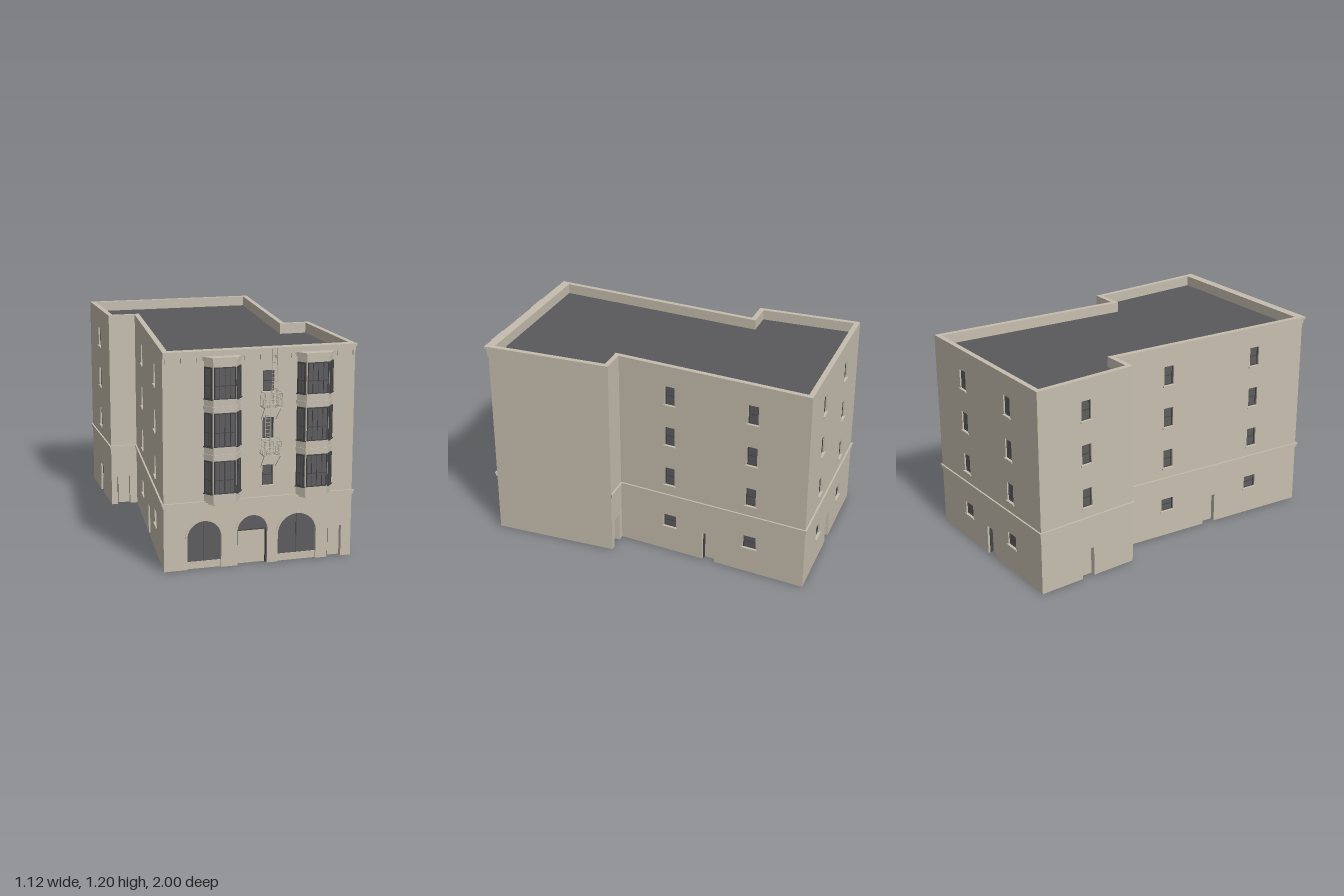
import * as THREE from 'three';

const mat = (name, color) => Object.assign(new THREE.MeshStandardMaterial({ color }), { name });
const stone = mat('stone', 0xc6beaf);
const dark = mat('roofing', 0x5a5a5c);
const glass = mat('glass', 0x5d5d5f);
const frame = mat('darkFrame', 0x464648);

const T = 0.03, H = 1.2, ROOF = 1.14;
// Footprint corners as [x, z], starting at the front right
const P = [[-0.52, 0.91], [0.548, 0.91], [0.548, 0.17], [0.395, 0.17],
  [0.522, -0.988], [-0.547, -0.988], [-0.547, -0.37], [-0.385, -0.37]];
const N = P.length;
const walls = P.map((p, i) => {
  const q = P[(i + 1) % N], L = Math.hypot(q[0] - p[0], q[1] - p[1]);
  return { p, L, d: [(q[0] - p[0]) / L, (q[1] - p[1]) / L] };
});
// Mitre slope at the start of each wall
walls.forEach((w, i) => {
  const a = walls[(i + N - 1) % N].d, b = w.d;
  w.k = Math.tan(Math.atan2(a[1] * b[0] - a[0] * b[1], a[0] * b[0] + a[1] * b[1]) / 2);
});

function add(parent, name, geo, m, x = 0, y = 0, z = 0) {
  const mesh = new THREE.Mesh(geo, m);
  mesh.name = name;
  mesh.position.set(x, y, z);
  parent.add(mesh);
  return mesh;
}
const box = (parent, name, m, w, h, d, x, y, z) =>
  add(parent, name, new THREE.BoxGeometry(w, h, d), m, x, y, z);
function group(parent, name, x = 0, y = 0, z = 0, ry = 0) {
  const g = new THREE.Group();
  g.name = name;
  g.position.set(x, y, z);
  g.rotation.y = ry;
  parent.add(g);
  return g;
}
function rod(parent, name, a, b, r = 0.0015) {
  const A = new THREE.Vector3(...a), B = new THREE.Vector3(...b), v = B.clone().sub(A);
  const m = add(parent, name, new THREE.CylinderGeometry(r, r, v.length(), 4), stone);
  m.position.copy(A.add(B).multiplyScalar(0.5));
  m.quaternion.setFromUnitVectors(new THREE.Vector3(0, 1, 0), v.normalize());
}

// Strip along one wall from depth z0 to z1, mitred at both corners
function strip(i, y0, y1, z0, z1, openings = []) {
  const { L, k } = walls[i], k1 = walls[(i + 1) % N].k;
  const s = new THREE.Shape().moveTo(0, y0);
  for (const o of openings.filter(o => o.y0 === 0).sort((a, b) => a.u - b.u)) {
    const r = o.w / 2;
    s.lineTo(o.u - r, 0).lineTo(o.u - r, o.y1);
    if (o.arch) s.absarc(o.u, o.y1, r, Math.PI, 0, true);
    else s.lineTo(o.u + r, o.y1);
    s.lineTo(o.u + r, 0);
  }
  s.lineTo(L, y0).lineTo(L, y1).lineTo(0, y1).closePath();
  for (const o of openings.filter(o => o.y0 > 0)) {
    const a = o.u - o.w / 2, b = o.u + o.w / 2;
    s.holes.push(new THREE.Path().moveTo(a, o.y0).lineTo(a, o.y1).lineTo(b, o.y1).lineTo(b, o.y0).closePath());
  }
  const g = new THREE.ExtrudeGeometry(s, { depth: z1 - z0, bevelEnabled: false, curveSegments: 18 });
  g.translate(0, 0, z0);
  const pos = g.attributes.position;
  for (let j = 0; j < pos.count; j++) {
    const x = pos.getX(j), z = pos.getZ(j);
    if (x < 1e-4) pos.setX(j, x - k * z);
    else if (x > L - 1e-4) pos.setX(j, x + k1 * z);
  }
  g.computeVertexNormals();
  return g;
}

// Pane with a border and bars; vs and hs are fractions of width and height
function pane(parent, w, h, z, vs, hs, b = 0.005) {
  box(parent, 'glass', glass, w, h, 0.004, 0, h / 2, z);
  for (const s of [-1, 1]) {
    box(parent, 'frameSide', frame, b, h, 0.008, s * (w - b) / 2, h / 2, z + 0.003);
    box(parent, 'frameRail', frame, w, b, 0.008, 0, h / 2 + s * (h - b) / 2, z + 0.003);
  }
  vs.forEach(f => box(parent, 'mullion', frame, 0.003, h, 0.006, (f - 0.5) * w, h / 2, z + 0.002));
  hs.forEach(f => box(parent, 'glazingBar', frame, w, 0.004, 0.006, 0, f * h, z + 0.002));
}
function wallWindow(g, o) {
  const h = o.y1 - o.y0, win = group(g, 'window', o.u, o.y0, 0);
  pane(win, o.w, h, -0.016, [], [0.5]);
  box(win, 'sill', stone, o.w + 0.016, 0.009, 0.022, 0, -0.003, -0.003);
}
function door(g, o) {
  const d = group(g, 'door', o.u, 0, 0);
  box(d, 'openLeaf', frame, 0.005, o.y1 - 0.004, 0.08, -o.w / 2 + 0.004, o.y1 / 2, -0.052);
  box(d, 'lintel', frame, o.w, 0.003, 0.01, 0, o.y1 - 0.0015, -0.02);
}
// Round-headed shopfront or entrance
function archway(g, o) {
  const a = group(g, o.entry ? 'entrance' : 'shopfront', o.u, 0, 0), r = o.w / 2;
  const base = o.entry ? o.y1 : 0.04;
  const s = new THREE.Shape().moveTo(-r, base);
  s.lineTo(r, base).lineTo(r, o.y1 + 0.0001).absarc(0, o.y1 + 0.0001, r, 0, Math.PI, false).closePath();
  add(a, 'archGlass', new THREE.ExtrudeGeometry(s, { depth: 0.004, bevelEnabled: false, curveSegments: 18 }), glass, 0, 0, -0.02);
  const ring = new THREE.Shape().absarc(0, 0, r + 0.012, 0, Math.PI, false);
  ring.absarc(0, 0, r, Math.PI, 0, true);
  add(a, 'archMoulding', new THREE.ExtrudeGeometry(ring, { depth: 0.004, bevelEnabled: false, curveSegments: 18 }), stone, 0, o.y1, -0.001);
  if (o.entry) {
    box(a, 'transom', frame, o.w, 0.005, 0.012, 0, o.y1, -0.016);
    for (const x of [-1, 1]) box(a, 'openLeaf', frame, 0.006, o.y1, 0.085, x * (r - 0.003), o.y1 / 2, -0.055);
  } else {
    box(a, 'bulkhead', stone, o.w, 0.04, 0.012, 0, 0.02, -0.018);
    box(a, 'mullion', frame, 0.003, o.y1 + r, 0.004, 0, (o.y1 + r) / 2, -0.0145);
  }
}

// Three-sided bay, with windows on three floors
function bay(parent, x) {
  const g = group(parent, 'bayWindow', x, 0, 0.91);
  const prism = (name, y0, y1, grow, m = stone) => {
    const b = 0.1 + grow, f = 0.062 + grow * 0.6, d = 0.05 + grow;
    const s = new THREE.Shape().moveTo(-b, 0.005).lineTo(-b, 0).lineTo(-f, -d).lineTo(f, -d).lineTo(b, 0).lineTo(b, 0.005).closePath();
    const geo = new THREE.ExtrudeGeometry(s, { depth: y1 - y0, bevelEnabled: false });
    add(g, name, geo.rotateX(-Math.PI / 2), m, 0, y0, 0);
  };
  prism('bayBody', 0.375, 1.15, 0);
  prism('bayFoot', 0.354, 0.362, -0.034);
  prism('bayFoot', 0.362, 0.376, -0.015);
  prism('bayCap', 1.145, 1.158, 0.007);
  prism('bayCap', 1.158, 1.168, 0.014);
  for (const y of [0.625, 0.885]) prism('bayMoulding', y, y + 0.02, 0.004);
  for (const [y0, y1] of [[0.43, 0.61], [0.687, 0.87], [0.945, 1.115]]) {
    const front = group(g, 'bayFrontWindow', 0, y0, 0.05);
    pane(front, 0.118, y1 - y0, 0.001, [0.25, 0.5, 0.75], [0.42]);
    for (const s of [-1, 1]) {
      const side = group(g, 'baySideWindow', s * 0.081, y0, 0.025, s * Math.atan2(0.05, 0.038));
      pane(side, 0.052, y1 - y0, 0.001, [0.5], [0.42], 0.008);
      box(side, 'sideSill', frame, 0.06, 0.005, 0.014, 0, -0.002, 0.004);
    }
  }
}

function ladder(parent, x0, x1, y0, y1, z) {
  const g = group(parent, 'ladder');
  for (const x of [x0, x1]) rod(g, 'ladderRail', [x, y0, z], [x, y1, z], 0.002);
  for (let y = y0 + 0.015; y < y1; y += 0.02) rod(g, 'rung', [x0, y, z], [x1, y, z]);
}
function balcony(parent, y) {
  const g = group(parent, 'fireEscapeBalcony'), x0 = 0.014, x1 = 0.108, z0 = 0.91, z1 = 0.997;
  for (const z of [z0 + 0.004, z1]) box(g, 'platformEdge', stone, x1 - x0, 0.007, 0.004, (x0 + x1) / 2, y, z);
  for (const x of [x0, x1]) box(g, 'platformEdge', stone, 0.004, 0.007, z1 - z0, x, y, (z0 + z1) / 2);
  for (let j = 1; j < 8; j++) {
    const x = x0 + (x1 - x0) * j / 8, z = z0 + (z1 - z0) * j / 8;
    rod(g, 'grating', [x, y, z0], [x, y, z1]);
    if (j % 2) rod(g, 'grating', [x0, y, z], [x1, y, z]);
    rod(g, 'baluster', [x, y, z1], [x, y + 0.08, z1], 0.001);
    if (j % 2) for (const e of [x0, x1]) rod(g, 'baluster', [e, y, z], [e, y + 0.08, z], 0.001);
  }
  for (const h of [0.045, 0.08]) {
    rod(g, 'handrail', [x0, y + h, z1], [x1, y + h, z1], 0.002);
    for (const x of [x0, x1]) rod(g, 'handrail', [x, y + h, z0], [x, y + h, z1], 0.002);
  }
  for (const x of [x0, x1]) {
    rod(g, 'cornerPost', [x, y, z1], [x, y + 0.08, z1], 0.002);
    rod(g, 'brace', [x + (x < 0.05 ? 0.006 : -0.006), y - 0.08, z0], [x, y, z1 - 0.01], 0.002);
  }
}

export function createModel() {
  const model = new THREE.Group();
  model.name = 'cornerBuilding';

  // Openings per wall, placed by world x (even walls) or z (odd walls, and wall 3)
  const floors = [[0.442, 0.557], [0.702, 0.82], [0.96, 1.076]];
  const column = c => floors.map(([y0, y1]) => ({ c, w: 0.062, y0, y1 }));
  const small = c => ({ c, w: 0.08, y0: 0.16, y1: 0.24 });
  const entry = c => ({ c, w: 0.08, y0: 0, y1: 0.178 });
  const side = (a, b, d) => [...column(a), ...column(b), small(a), small(b), entry(d)];
  const plans = [
    [...column(0.06), { ...entry(0.45) },
      { c: -0.295, w: 0.19, y0: 0, y1: 0.175, arch: true },
      { c: -0.024, w: 0.17, y0: 0, y1: 0.195, arch: true, entry: true },
      { c: 0.232, w: 0.22, y0: 0, y1: 0.16, arch: true }],
    [], [entry(0.475)], side(-0.15, -0.655, -0.4),
    side(0.22, -0.245, -0.015), [...column(-0.68), entry(-0.68)],
    [entry(-0.47)], side(-0.02, 0.57, 0.275)];

  walls.forEach((w, i) => {
    const g = group(model, 'wallSide', w.p[0], 0, w.p[1], Math.atan2(-w.d[1], w.d[0]));
    const axis = i % 2;
    const openings = plans[i].map(o => ({ ...o, u: (o.c - w.p[axis]) / w.d[axis] }));
    add(g, 'wall', strip(i, 0, H, -T, 0, openings), stone);
    add(g, 'innerLining', strip(i, 0, ROOF - 0.01, -T - 0.006, -T), stone);
    if (i !== 1) {
      add(g, 'beltCourse', strip(i, 0.355, 0.372, 0, 0.006), stone);
      add(g, 'beltCourse', strip(i, 0.372, 0.381, 0, 0.01), stone);
    }
    for (const o of openings) {
      if (o.arch) archway(g, o);
      else if (o.y0 === 0) door(g, o);
      else wallWindow(g, o);
    }
  });

  // Roof deck set inside the parapet
  const deck = new THREE.Shape(walls.map(({ p, d, k }) => {
    const t = T * 0.6;
    return new THREE.Vector2(p[0] + d[0] * k * t + d[1] * t, -(p[1] + d[1] * k * t - d[0] * t));
  }));
  const deckGeo = new THREE.ExtrudeGeometry(deck, { depth: 0.015, bevelEnabled: false }).rotateX(-Math.PI / 2);
  add(model, 'roofDeck', deckGeo, dark, 0, ROOF - 0.015, 0);

  // Front cornice with brackets
  box(model, 'cornice', stone, 1.068, 0.022, 0.012, 0.014, 1.175, 0.916);
  box(model, 'cornice', stone, 1.074, 0.015, 0.024, 0.014, 1.1925, 0.922);
  for (let j = 0; j < 13; j++) {
    const x = -0.505 + j * 0.0868;
    box(model, 'bracket', stone, 0.01, 0.028, 0.014, x, 1.152, 0.916);
  }

  bay(model, -0.196);
  bay(model, 0.32);

  balcony(model, 0.628);
  balcony(model, 0.888);
  ladder(model, 0.03, 0.056, 0.628, 0.888, 0.955);
  ladder(model, 0.066, 0.094, 0.888, 1.2, 0.95);
  return model;
}
